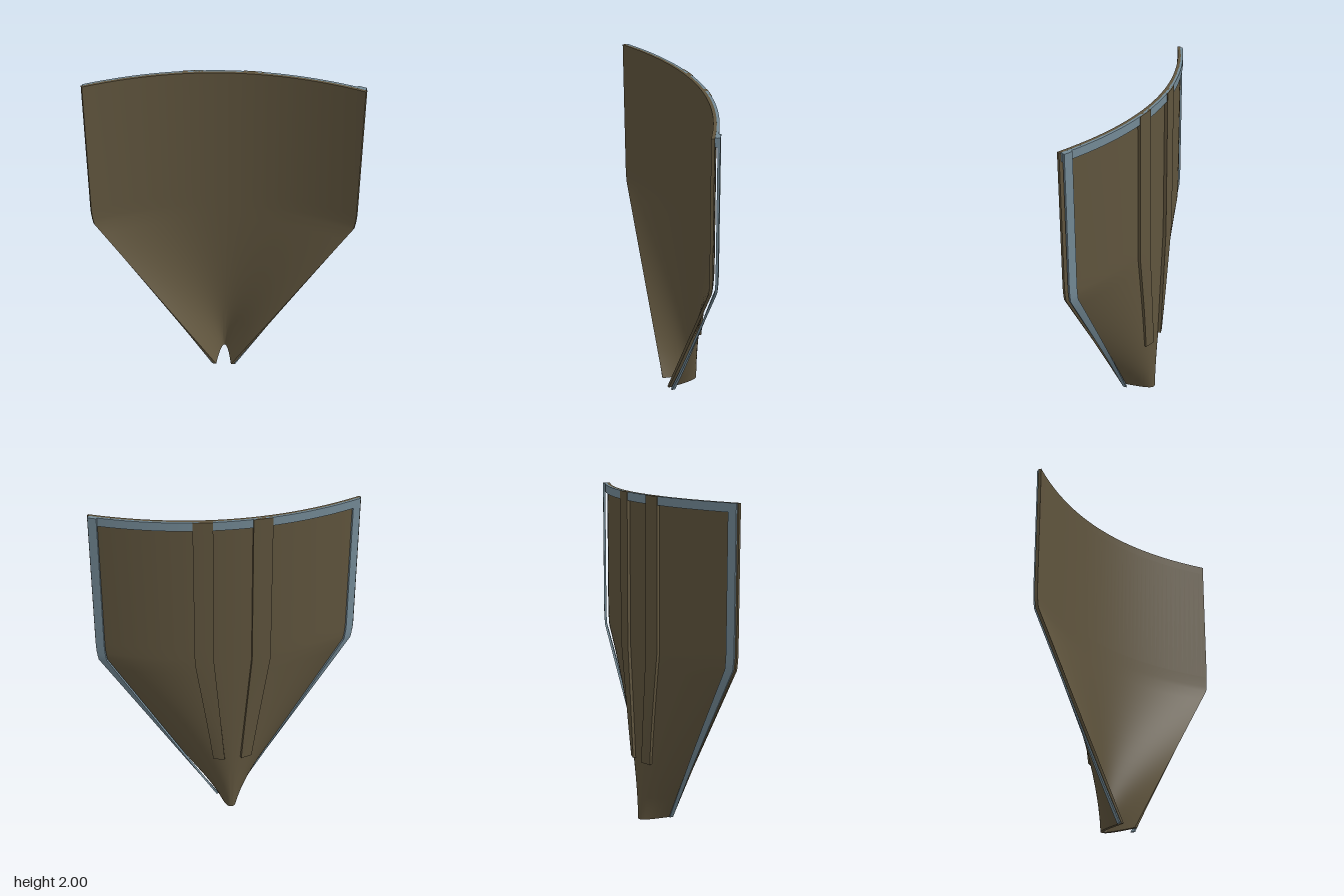
import * as THREE from 'three';
import { toCreasedNormals } from 'three/addons/utils/BufferGeometryUtils.js';

const TOP = 2, BASE = 0.02;

// Half-width of the hollow face at height y: pointed below, straight above
function halfWidth(y) {
  if (y < 1.09) return 0.047 + (y - BASE) / (1.09 - BASE) * 0.711;
  if (y < 1.19) return 0.758 + 0.011 * Math.sin((y - 1.09) / 0.1 * Math.PI / 2);
  return 0.769;
}

// Point across the parabolic bow (u from -1 to 1), pushed out of the back by t
function bowPoint(u, y, t) {
  const w = halfWidth(y), slope = 0.38 * u, len = Math.hypot(w, slope);
  return [w * u + t * slope / len, y, -0.08 + 0.19 * u * u - t * w / len];
}

// Closed curved slab between two edges range(y) = [u0, u1] and two depths
function slab(ys, range, tIn, tOut, n) {
  const pos = [], index = [], ring = 2 * (n + 1);
  for (const y of ys) {
    const [a, b] = range(y);
    for (let i = 0; i <= n; i++) pos.push(...bowPoint(a + (b - a) * i / n, y, tIn));
    for (let i = n; i >= 0; i--) pos.push(...bowPoint(a + (b - a) * i / n, y, tOut));
  }
  const quad = (a, b, c, d) => index.push(a, b, c, a, c, d);
  for (let r = 0; r < ys.length - 1; r++) {
    for (let i = 0; i < ring; i++) {
      const j = (i + 1) % ring, p = r * ring;
      quad(p + i, p + j, p + ring + j, p + ring + i);
    }
  }
  const last = (ys.length - 1) * ring;
  for (let i = 0; i < n; i++) {
    const o = ring - 1 - i;
    quad(i, o, o - 1, i + 1);
    quad(last + i, last + i + 1, last + o - 1, last + o);
  }
  const geo = new THREE.BufferGeometry();
  geo.setAttribute('position', new THREE.Float32BufferAttribute(pos, 3));
  geo.setIndex(index);
  return toCreasedNormals(geo, 0.6);
}

// Heights for the full outline
function outlineRows(from) {
  const ys = [];
  for (let i = 0; i < 14; i++) ys.push(from + (1.09 - from) * i / 14);
  return [...ys, 1.09, 1.12, 1.15, 1.19, 1.95, TOP];
}

export function createModel() {
  const model = new THREE.Group();
  const brown = new THREE.MeshStandardMaterial({ color: 0x5f543d });
  brown.name = 'olive brown';
  const steel = new THREE.MeshStandardMaterial({ color: 0x738995 });
  steel.name = 'blue grey';
  const add = (name, geo, mat) => {
    const mesh = new THREE.Mesh(geo, mat);
    mesh.name = name;
    model.add(mesh);
    return mesh;
  };

  // Bowed panel
  add('panel', slab(outlineRows(BASE), () => [-1, 1], 0, 0.018, 48), brown).position.x = -0.003;

  // Edge trim on the back
  add('topTrim', slab([1.95, TOP], () => [-0.985, 0.985], 0.017, 0.032, 40), steel);
  add('rightTrim', slab(outlineRows(BASE), () => [-0.99, -0.93], 0.016, 0.03, 4), steel);
  // The left strip stands slightly clear of the panel
  add('leftTrim', slab(outlineRows(0.003), () => [0.925, 0.985], 0.018, 0.032, 4), steel)
    .position.set(0.003, 0, -0.012);

  // Two back ribs, converging below the shoulder
  const ribRows = [0.4, 0.55, 0.7, 0.85, 1, 1.1, 1.19, TOP];
  for (const side of [-1, 1]) {
    const range = (y) => {
      const k = Math.min(1, (y - 0.4) / 0.7), w = halfWidth(y);
      const mid = side * (0.075 + 0.09 * k), half = 0.03 + 0.025 * k;
      return [(mid - half) / w, (mid + half) / w];
    };
    add(side > 0 ? 'leftRib' : 'rightRib', slab(ribRows, range, 0.012, 0.036, 5), brown).position.x = -0.01;
  }
  return model;
}
